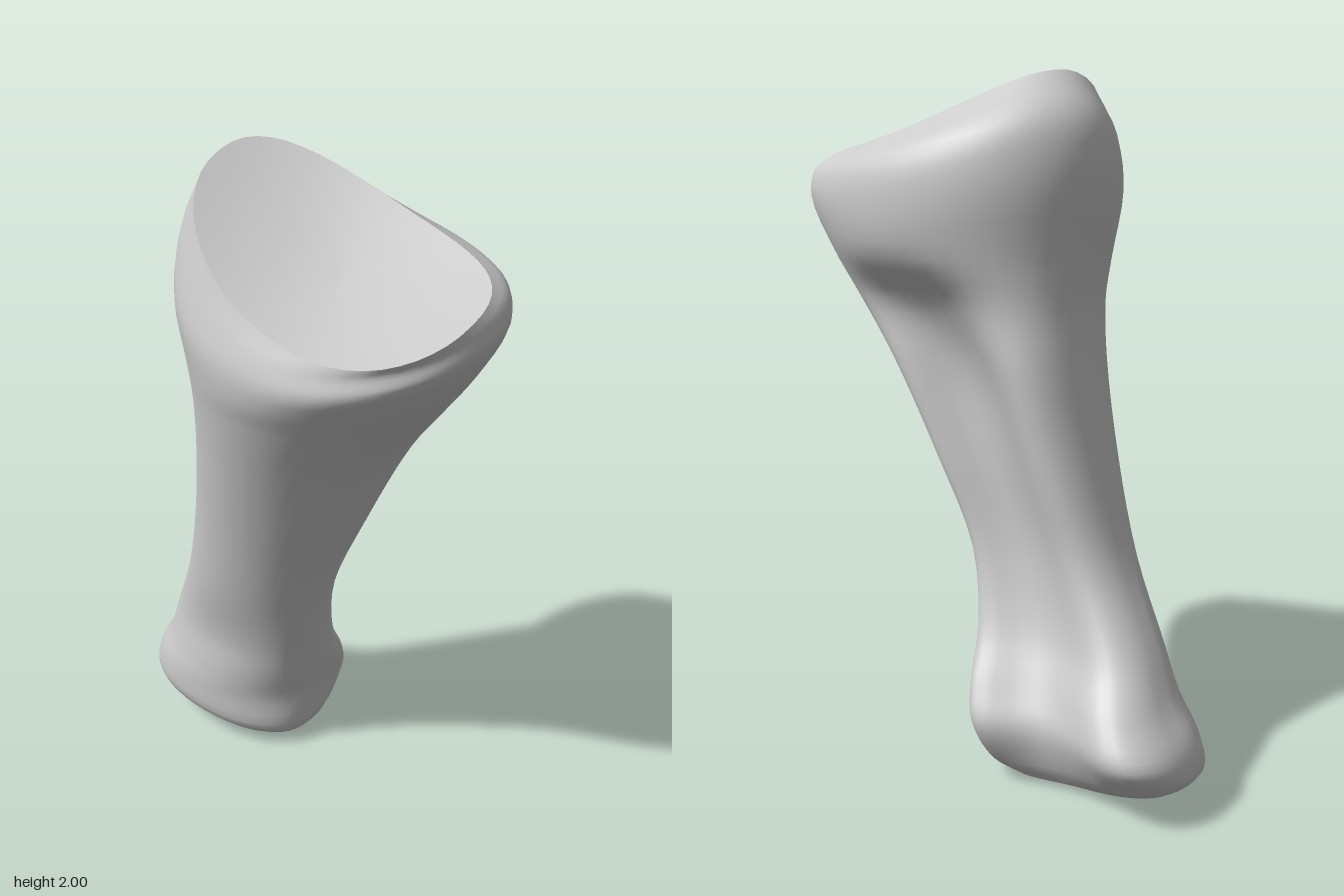
import * as THREE from 'three';

const SEG = 48;   // points around the bone
const STEPS = 48; // rings along the bone

// Cross-sections from the lower to the upper end:
// [y, xMin, xMax, zBack, zFront, tiltX, tiltZ, saddle, back squareness, front squareness, back groove]
const SECTIONS = [
  [0.03, -0.61, -0.1, -0.25, -0.03, -0.09, 0, 0, 2.4, 2, 0.02],
  [0.09, -0.68, -0.045, -0.34, 0.07, -0.08, 0, 0, 2.8, 2.1, 0.07],
  [0.2, -0.67, -0.025, -0.43, 0.09, 0, 0, 0, 3, 2.1, 0.13],
  [0.3, -0.6, 0, -0.385, 0.09, 0, 0, 0, 3, 2.1, 0.13],
  [0.43, -0.53, 0.025, -0.285, 0.09, 0, 0, 0, 3, 2.1, 0.1],
  [0.65, -0.41, 0.08, -0.23, 0.145, 0, 0, 0, 2.8, 2, 0.09],
  [0.92, -0.325, 0.2, -0.26, 0.21, 0, 0, 0, 2.8, 2, 0.12],
  [1.2, -0.26, 0.35, -0.3, 0.29, 0, 0, 0, 2.7, 2, 0.15],
  [1.37, -0.24, 0.49, -0.31, 0.345, 0, 0, 0, 2.4, 2, 0.1],
  [1.48, -0.255, 0.6, -0.335, 0.375, 0, -0.08, 0.02, 2.1, 2, 0],
  [1.6, -0.29, 0.68, -0.36, 0.385, -0.1, -0.2, 0.08, 2, 2.1, 0],
  [1.69, -0.27, 0.68, -0.33, 0.37, -0.2, -0.28, 0.09, 2, 2.1, 0],
  [1.75, -0.18, 0.67, -0.2, 0.345, -0.33, -0.38, 0.1, 2.2, 2.3, 0],
];

const power = (v, e) => Math.sign(v) * Math.abs(v) ** e;

// One point of a section; r shrinks the outline toward its centre
function sectionPoint([y, x0, x1, z0, z1, tiltX, tiltZ, saddle, back, front, groove], angle, r = 1) {
  const c = Math.cos(angle), s = Math.sin(angle);
  const e = 2 / (s < -1e-9 ? back : front);
  const u = power(c, e) * r, v = power(s, e) * r;
  const dx = u * (x1 - x0) / 2;
  let dz = v * (z1 - z0) / 2;
  // The groove leaves the ridge on the right side higher
  if (v < 0) dz -= groove * (1 - u * u) ** 2 * (1 + u) * v;
  return new THREE.Vector3(
    (x0 + x1) / 2 + dx,
    y + tiltX * dx + tiltZ * dz + saddle * u * u,
    (z0 + z1) / 2 + dz);
}

const around = (fn) => Array.from({ length: SEG }, (_, j) => fn(j / SEG * Math.PI * 2));

// Part of a section shrunk by r and sunk toward its centre
const sunkRing = (section, r, depth) => around((angle) => {
  const p = sectionPoint(section, angle, r);
  p.y -= depth * (1 - r * r);
  return p;
});

// Smooth skin over a list of closed rings
function skin(rings, name) {
  const positions = rings.flat().flatMap((p) => [p.x, p.y, p.z]);
  const index = [];
  for (let i = 0; i < rings.length - 1; i++) {
    for (let j = 0; j < SEG; j++) {
      const k = (j + 1) % SEG;
      const a = i * SEG + j, b = i * SEG + k, c = a + SEG, d = b + SEG;
      index.push(a, c, b, b, c, d);
    }
  }
  const geometry = new THREE.BufferGeometry();
  geometry.setAttribute('position', new THREE.Float32BufferAttribute(positions, 3));
  geometry.setIndex(index);
  geometry.computeVertexNormals();
  const mesh = new THREE.Mesh(geometry, new THREE.MeshStandardMaterial({ color: 0xcccccc }));
  mesh.name = name;
  return mesh;
}

export function createModel() {
  const model = new THREE.Group();
  model.name = 'bone';

  // Shaft with both flared ends, smoothed lengthwise, and a domed lower end
  const columns = around((angle) => new THREE.CatmullRomCurve3(
    SECTIONS.map((section) => sectionPoint(section, angle))));
  const rings = [0, 0.5, 0.8].map((r) => sunkRing(SECTIONS[0], r, 0.015));
  for (let i = 0; i <= STEPS; i++) {
    rings.push(columns.map((curve) => curve.getPoint(i / STEPS)));
  }
  model.add(skin(rings, 'shaftAndEnds'));

  // Hollow, tilted joint surface inside the upper rim
  const rim = SECTIONS[SECTIONS.length - 1];
  const dish = [1, 0.85, 0.65, 0.4, 0.2, 0].map((r) => sunkRing(rim, r, 0.03));
  model.add(skin(dish, 'jointSurface'));

  return model;
}
